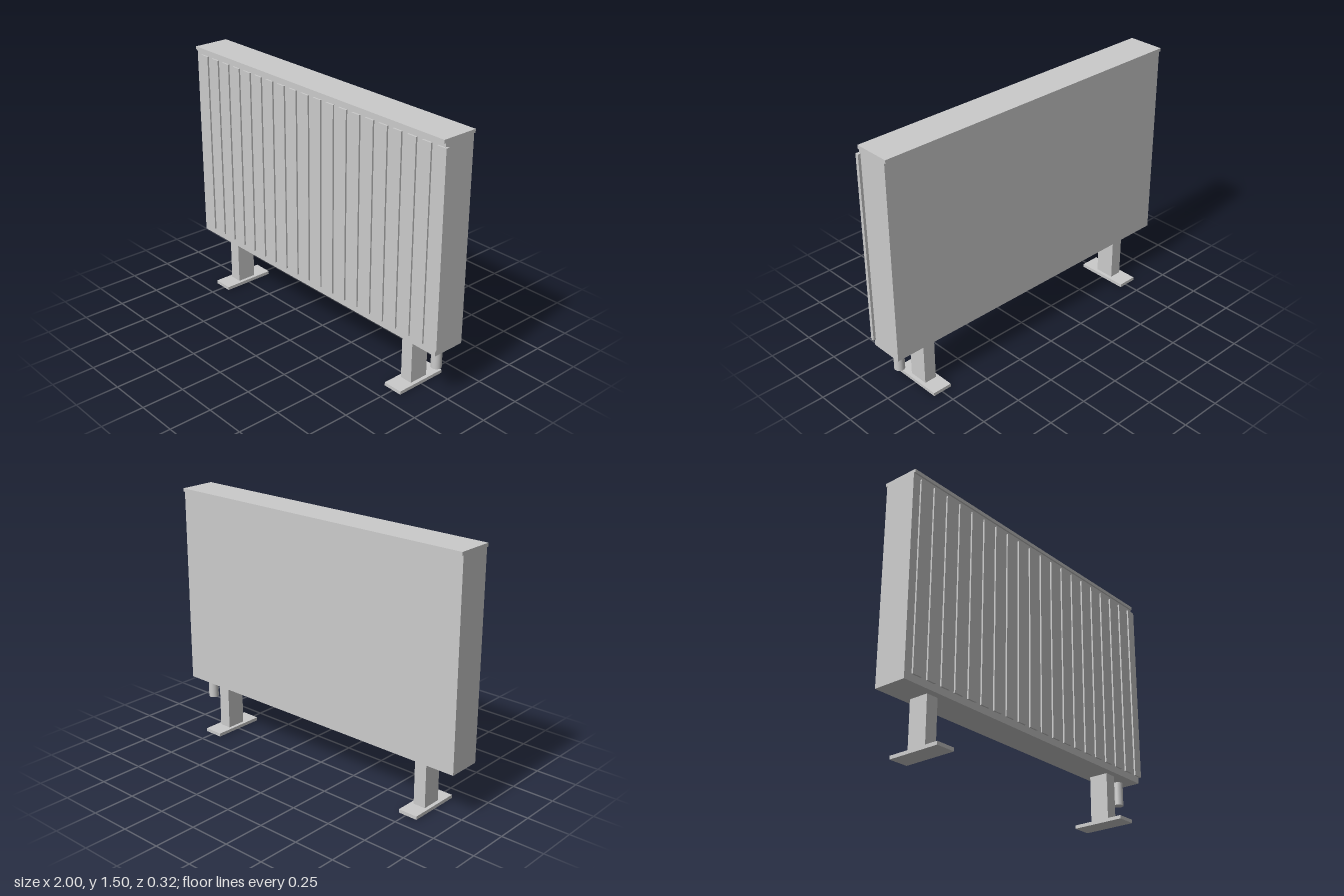
import * as THREE from 'three';

const material = new THREE.MeshStandardMaterial({ color: 0xcccccc });

// Box given by its centre in x and z, and its bottom and top in y
function box(name, x, z, width, depth, y0, y1) {
  const mesh = new THREE.Mesh(new THREE.BoxGeometry(width, y1 - y0, depth), material);
  mesh.name = name;
  mesh.position.set(x, (y0 + y1) / 2, z);
  return mesh;
}

export function createModel() {
  const model = new THREE.Group();
  model.name = 'radiator';
  const midX = -0.0075;
  const width = 1.985;

  // Panel body and the overhanging top cover
  model.add(box('body', midX, 0, width, 0.198, 0.3, 1.477));
  model.add(box('topCover', midX, 0, width, 0.218, 1.475, 1.495));

  // Raised vertical ribs on the front, the last one reaching past the edge
  const ribs = new THREE.Group();
  ribs.name = 'frontRibs';
  const ribCount = 20;
  for (let i = 0; i < ribCount; i++) {
    const x = -0.921 + (i * 1.891) / (ribCount - 1);
    ribs.add(box('rib', x, 0.099, 0.06, 0.02, 0.34, 1.455));
  }
  model.add(ribs);

  // Two floor stands, each a post on a foot plate
  for (const side of [-1, 1]) {
    const stand = new THREE.Group();
    stand.name = side < 0 ? 'rightStand' : 'leftStand';
    const x = midX + side * 0.755;
    stand.add(box('post', x, 0, 0.075, 0.118, 0.02, 0.3));
    stand.add(box('footPlate', x, 0, 0.118, 0.32, 0, 0.02));
    model.add(stand);
  }

  // Supply pipe under the left end
  const pipe = new THREE.Mesh(new THREE.CylinderGeometry(0.03, 0.03, 0.14, 24), material);
  pipe.name = 'supplyPipe';
  pipe.position.set(0.907, 0.23, 0);
  model.add(pipe);

  return model;
}
